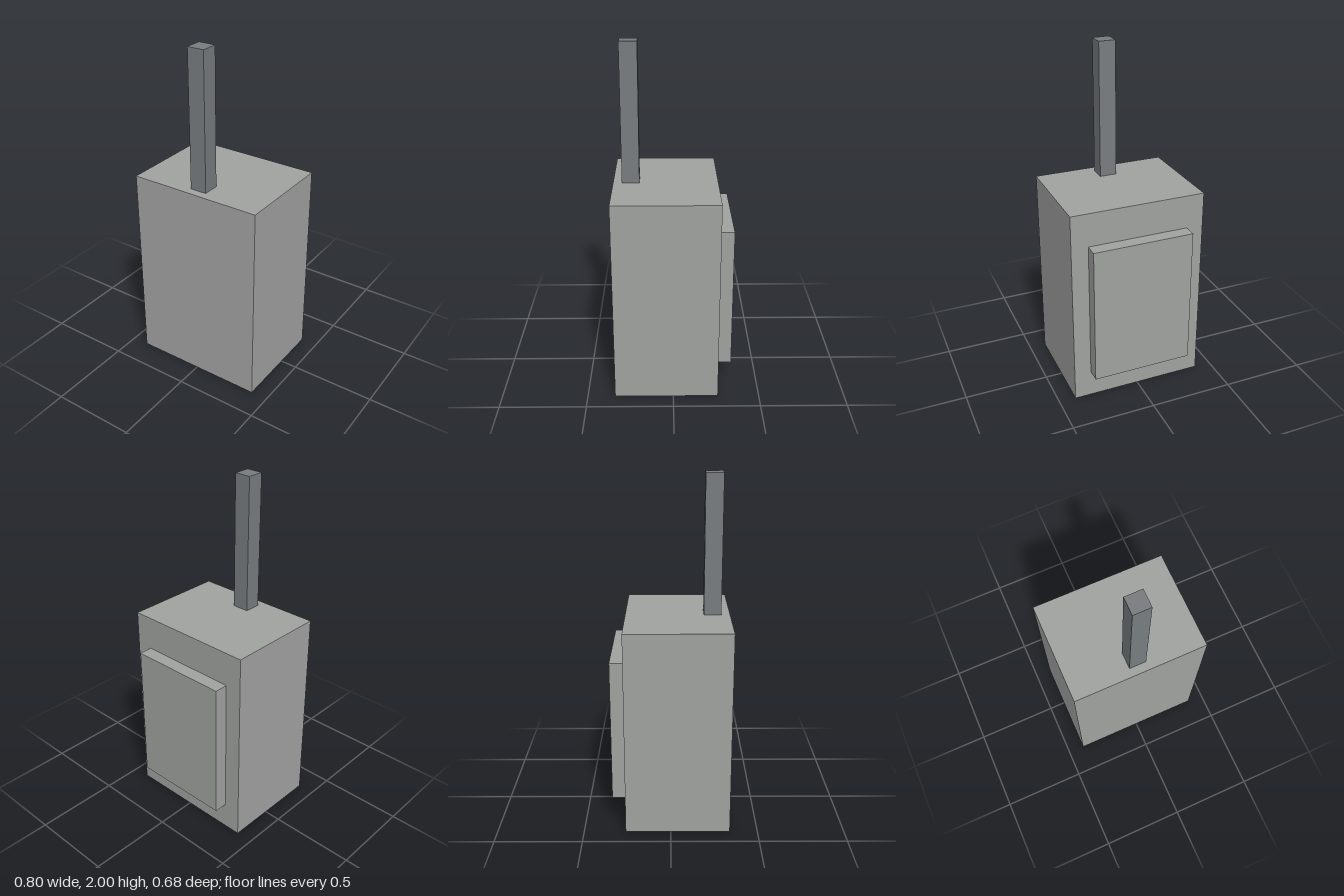
import * as THREE from 'three';

export function createModel() {
  const group = new THREE.Group();
  const casing = new THREE.MeshStandardMaterial({ name: 'casing grey', color: 0xa1a3a1 });
  const dark = new THREE.MeshStandardMaterial({ name: 'antenna grey', color: 0x787d80 });

  // Box given by its lower and upper corners
  function box(name, material, [x0, y0, z0], [x1, y1, z1]) {
    const mesh = new THREE.Mesh(new THREE.BoxGeometry(x1 - x0, y1 - y0, z1 - z0), material);
    mesh.position.set((x0 + x1) / 2, (y0 + y1) / 2, (z0 + z1) / 2);
    mesh.name = name;
    group.add(mesh);
  }

  // Main casing
  box('body', casing, [-0.4, 0, -0.26], [0.4, 1.2, 0.34]);
  // Raised plate on the back
  box('backPanel', casing, [-0.3, 0.165, -0.34], [0.3, 1, -0.26]);
  // Square rod standing near the front edge
  box('antenna', dark, [-0.05, 1.2, 0.19], [0.05, 2, 0.29]);

  return group;
}
